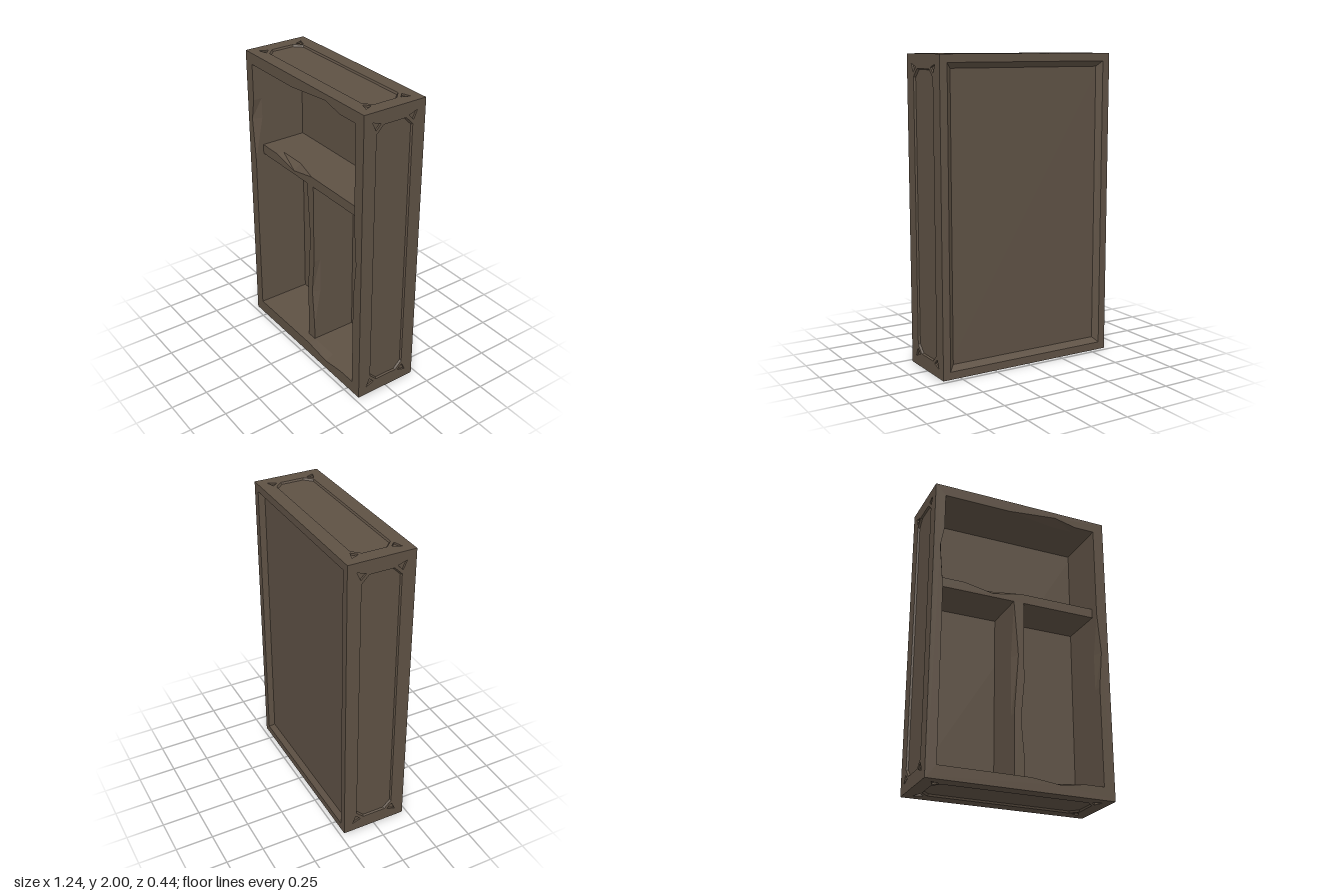
import * as THREE from 'three';

export function createModel() {
  const group = new THREE.Group();
  const darkWood = new THREE.MeshStandardMaterial({ color: 0x5e5144 });
  darkWood.name = 'darkWood';

  const W = 0.62, D = 0.22, SKIN = 0.012; // half width, half depth, side panel relief
  const BACK = -0.157;                    // inner face of the back board

  function add(name, geometry) {
    const mesh = new THREE.Mesh(geometry, darkWood);
    mesh.name = name;
    group.add(mesh);
    return mesh;
  }

  // Flat plate from z0 to z1. A point [x, y, bx, by] sits at (bx, by) on the z0
  // side, which gives slanted chips and tapered recesses.
  function plate(name, outline, holes, z0, z1) {
    const toPoints = (list) => list.map((p) => new THREE.Vector2(p[0], p[1]));
    const shape = new THREE.Shape(toPoints(outline));
    shape.holes = holes.map((h) => new THREE.Path(toPoints(h)));
    const geometry = new THREE.ExtrudeGeometry(shape, { depth: z1 - z0, bevelEnabled: false });
    const moved = [outline, ...holes].flat().filter((p) => p.length === 4);
    const pos = geometry.attributes.position;
    for (let i = 0; i < pos.count; i++) {
      if (pos.getZ(i) > 1e-5) continue;
      const hit = moved.find((p) => Math.hypot(p[0] - pos.getX(i), p[1] - pos.getY(i)) < 1e-4);
      if (hit) pos.setXY(i, hit[2], hit[3]);
    }
    geometry.translate(0, 0, z0);
    geometry.computeVertexNormals();
    return add(name, geometry);
  }

  function box(name, x0, x1, y0, y1, z0, z1) {
    const geometry = new THREE.BoxGeometry(x1 - x0, y1 - y0, z1 - z0);
    geometry.translate((x0 + x1) / 2, (y0 + y1) / 2, (z0 + z1) / 2);
    return add(name, geometry);
  }

  const rect = (x0, x1, y0, y1) => [[x0, y0], [x1, y0], [x1, y1], [x0, y1]];

  // Carcass walls
  const outer = rect(-W + SKIN, W - SKIN, SKIN, 2 - SKIN);
  const L = -0.55, R = 0.545, B = 0.085, T = 1.925;
  plate('carcassWalls', outer, [rect(L, R, B, T)], BACK, 0.16);

  // Front rim with a worn chip on each inner edge
  plate('frontRim', outer, [[
    [L, B], [0.05, B], [0.25, 0.06, 0.25, B], [0.42, B],
    [R, B], [R, 0.75], [0.568, 1.0, R, 1.0], [R, 1.28],
    [R, T], [0.4, T], [0.25, 1.96, 0.25, T], [-0.09, T],
    [L, T], [L, 1.68], [-0.576, 1.54, L, 1.54], [L, 1.25],
  ]], 0.16, D);

  // Back board in a rim with sloping edges
  box('backBoard', -W + SKIN, W - SKIN, SKIN, 2 - SKIN, -0.19, BACK);
  const slope = [[-1, -1], [1, -1], [1, 1], [-1, 1]].map(([sx, sy]) =>
    [sx * 0.535, 1 + sy * 0.915, sx * 0.57, 1 + sy * 0.95]);
  plate('backRim', outer, [slope], -D, -0.19);

  // Shelf, set back from the rim, with a chipped top edge
  box('shelf', L, R, 1.28, 1.345, BACK, 0.11);
  plate('shelfFront', [
    [L, 1.28], [R, 1.28], [R, 1.345], [0.02, 1.345],
    [-0.18, 1.305, -0.18, 1.345], [-0.38, 1.345], [L, 1.345],
  ], [], 0.11, 0.16);

  // Divider under the shelf, chipped on both edges
  box('divider', -0.035, 0.035, B, 1.28, BACK, 0.11);
  plate('dividerFront', [
    [-0.035, B], [0.035, B], [0.035, 0.2], [0.012, 0.47, 0.035, 0.47], [0.035, 0.72],
    [0.035, 1.28], [-0.035, 1.28], [-0.005, 0.9, -0.035, 0.9], [-0.035, 0.5],
  ], [], 0.11, 0.16);

  // Outer side faces: sunken panel with cut corners and a triangular nick at each corner
  function sideFace(name, halfW, halfH, w, h, z1) {
    const a = w - 0.09, b = h - 0.09, c = 0.05, t = 0.006;
    const panel = [
      [a, b - c], [a - c, b], [c - a, b], [-a, b - c],
      [-a, c - b], [c - a, -b], [a - c, -b], [a, c - b],
    ].map(([x, y]) => [x, y, x - Math.sign(x) * t, y - Math.sign(y) * t]);
    const nicks = [[1, 1], [-1, 1], [-1, -1], [1, -1]].map(([sx, sy]) => [
      [sx * (w - 0.06), sy * (h - 0.06)],
      [sx * (w - 0.12), sy * (h - 0.08)],
      [sx * (w - 0.085), sy * (h - 0.115)],
    ]);
    const mesh = plate(name, rect(-halfW, halfW, -halfH, halfH), [panel, ...nicks], z1 - SKIN, z1);
    mesh.position.y = 1;
    return mesh;
  }
  sideFace('leftSide', D, 1, D, 1, W).rotation.y = Math.PI / 2;
  sideFace('rightSide', D, 1, D, 1, W).rotation.y = -Math.PI / 2;
  sideFace('topSide', W - SKIN, D, W, D, 1).rotation.x = -Math.PI / 2;
  sideFace('bottomSide', W - SKIN, D, W, D, 1).rotation.x = Math.PI / 2;

  return group;
}
